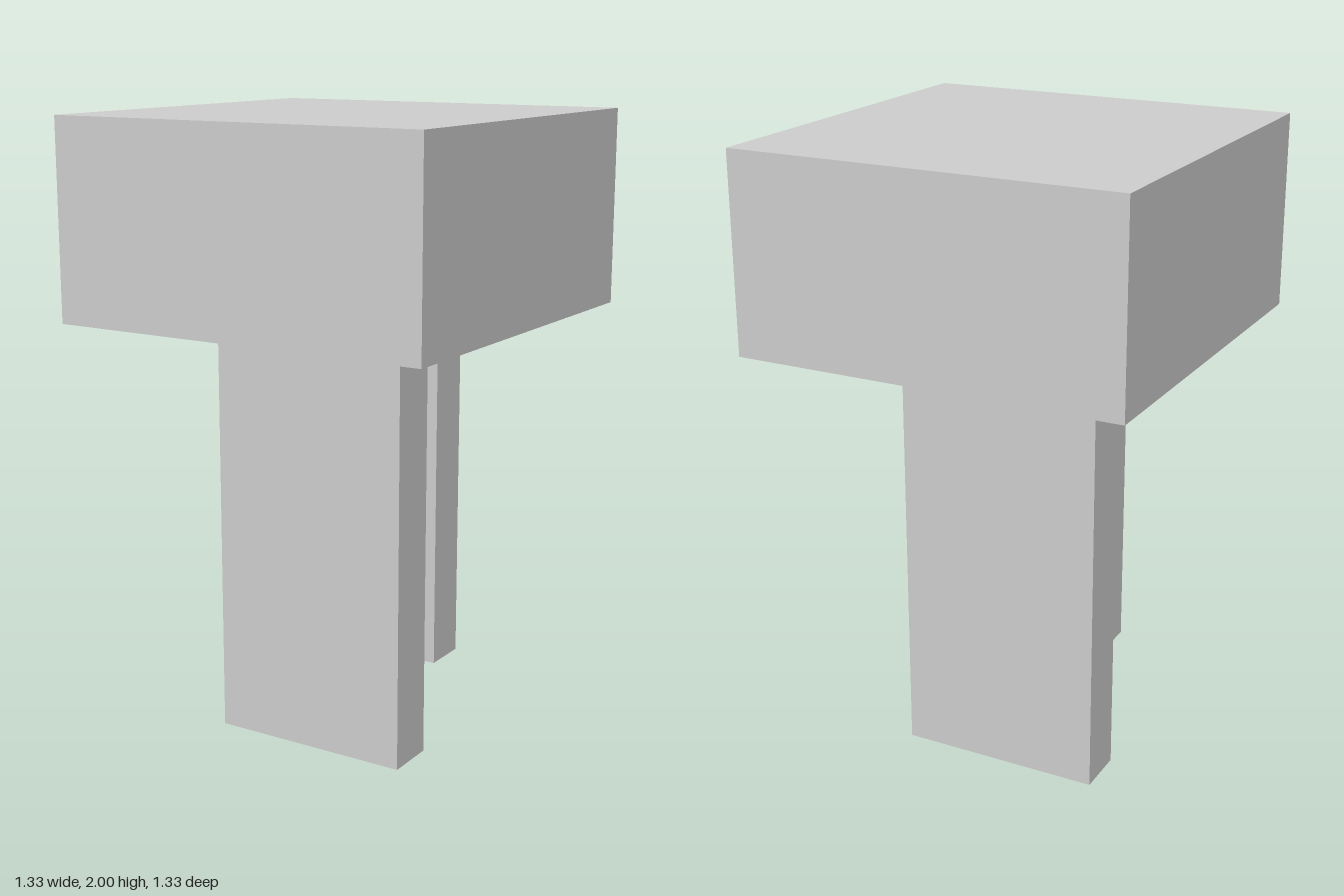
import * as THREE from 'three';

export function createModel() {
  const model = new THREE.Group();
  const material = new THREE.MeshStandardMaterial({ color: 0xcccccc, flatShading: true });

  function addBox(name, size, position) {
    const mesh = new THREE.Mesh(new THREE.BoxGeometry(...size), material);
    mesh.name = name;
    mesh.position.set(...position);
    model.add(mesh);
  }

  // Square top block
  addBox('topBlock', [4 / 3, 2 / 3, 4 / 3], [0, 5 / 3, 0]);

  // Two slab legs, offset to opposite sides
  for (const [name, side] of [['frontLeg', 1], ['backLeg', -1]]) {
    addBox(name, [2 / 3, 4 / 3, 1 / 6], [side / 6, 2 / 3, side * 5 / 12]);
  }

  return model;
}
